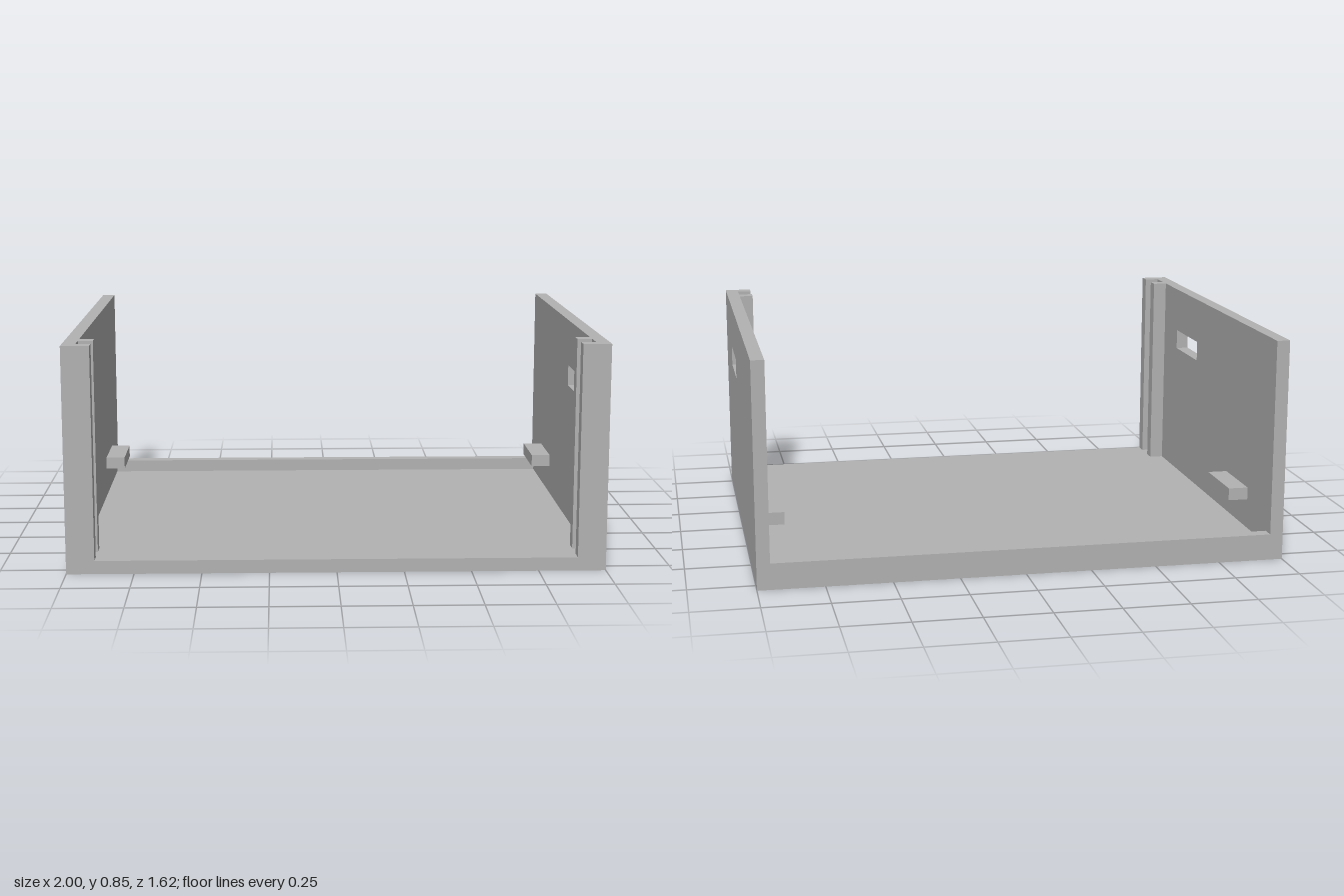
import * as THREE from 'three';

const HALF_WIDTH = 1, HALF_DEPTH = 0.81, HEIGHT = 0.85, THICK = 0.05;

export function createModel() {
  const model = new THREE.Group();
  model.name = 'openTray';
  const grey = new THREE.MeshStandardMaterial({ color: 0xb2b2b2 });
  grey.name = 'plain grey';

  const add = (name, geometry) => {
    const mesh = new THREE.Mesh(geometry, grey);
    mesh.name = name;
    model.add(mesh);
  };
  // Box given by its lower and upper limits
  const box = (name, x0, x1, y0, y1, z0, z1) => add(name,
    new THREE.BoxGeometry(x1 - x0, y1 - y0, z1 - z0)
      .translate((x0 + x1) / 2, (y0 + y1) / 2, (z0 + z1) / 2));
  const rectangle = (path, x0, x1, y0, y1) =>
    path.moveTo(x0, y0).lineTo(x1, y0).lineTo(x1, y1).lineTo(x0, y1).closePath();

  // Floor and low lip along the back edge
  const inner = HALF_WIDTH - THICK;
  box('floor', -inner, inner, 0, THICK, -HALF_DEPTH, HALF_DEPTH);
  box('backLip', -inner, inner, THICK, 0.1, -HALF_DEPTH, -0.76);

  // Side wall outline, drawn in z and y, with a hand slot
  const outline = rectangle(new THREE.Shape(), -HALF_DEPTH, HALF_DEPTH, 0, HEIGHT);
  outline.holes.push(rectangle(new THREE.Path(), 0.15, 0.44, 0.59, 0.67));

  for (const [side, sign] of [['left', 1], ['right', -1]]) {
    add(side + 'Wall',
      new THREE.ExtrudeGeometry(outline, { depth: THICK, bevelEnabled: false })
        .rotateY(-Math.PI / 2)
        .translate(sign > 0 ? HALF_WIDTH : -inner, 0, 0));

    // Parts standing inwards from the wall
    const inward = (name, reach, y0, y1, z0, z1) => box(side + name,
      Math.min(sign * reach, sign * inner), Math.max(sign * reach, sign * inner), y0, y1, z0, z1);
    inward('FrontRail', 0.895, THICK, HEIGHT, 0.757, HALF_DEPTH);
    inward('RearRail', 0.895, THICK, HEIGHT, 0.625, 0.677);
    inward('SupportPeg', 0.873, 0.165, 0.213, -0.54, -0.28);
  }
  return model;
}
